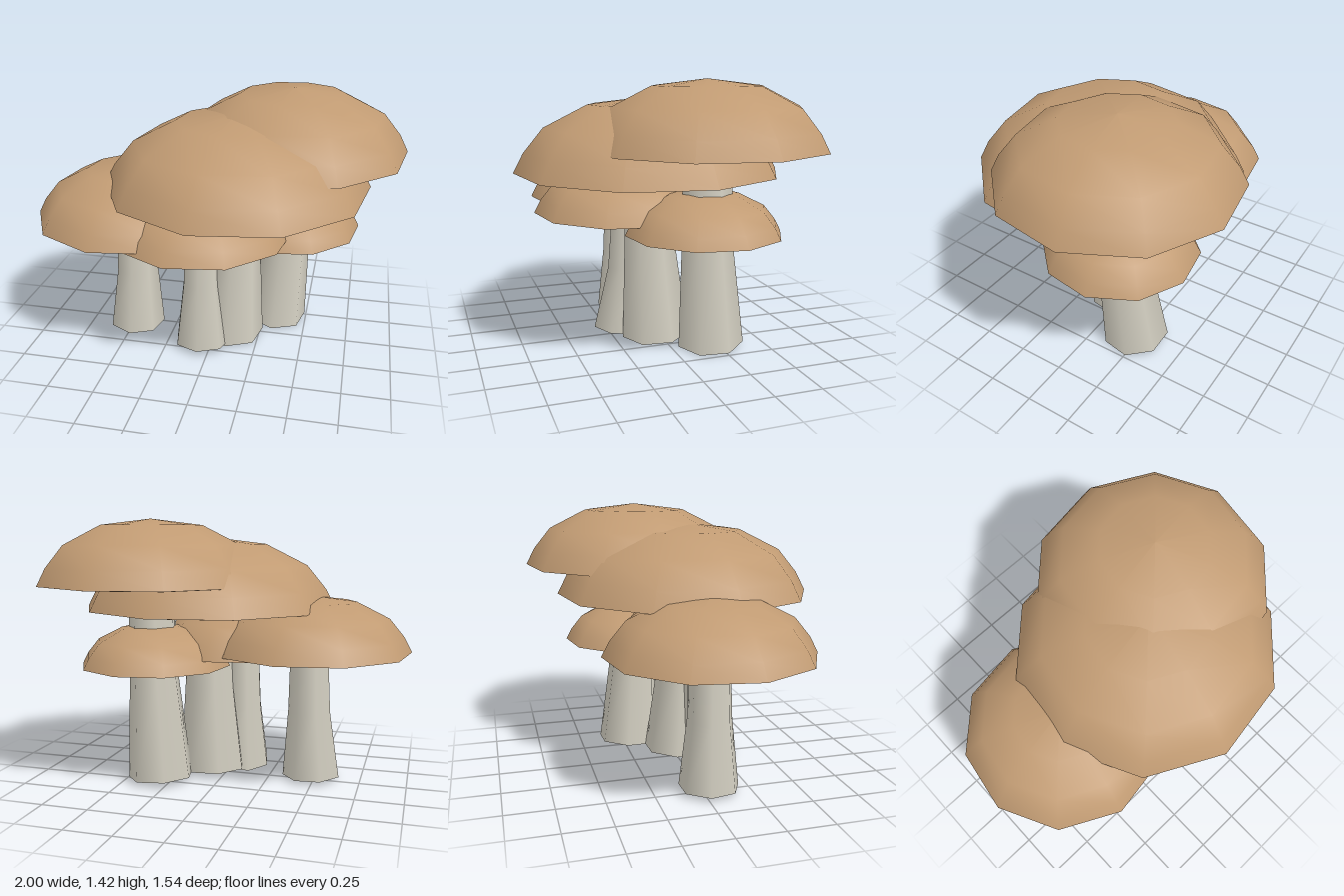
import * as THREE from 'three';

const capMaterial = new THREE.MeshStandardMaterial({ color: 0xc19b73 });
const gillMaterial = new THREE.MeshStandardMaterial({ color: 0x59544c });
const stemMaterial = new THREE.MeshStandardMaterial({ color: 0xd8d4c6 });

// Cap position and radius, then stem foot position and radii
const mushrooms = [
  { name: 'tallMushroom', x: 0.38, y: 1.08, z: -0.155, r: 0.626, footX: 0.315, footZ: -0.217, rTop: 0.125, rFoot: 0.18 },
  { name: 'frontMushroom', x: 0.12, y: 0.94, z: 0.07, r: 0.705, footX: 0.085, footZ: 0.02, rTop: 0.13, rFoot: 0.186 },
  { name: 'leftMushroom', x: -0.46, y: 0.715, z: 0.05, r: 0.545, footX: -0.482, footZ: 0.04, rTop: 0.105, rFoot: 0.16 },
  { name: 'middleMushroom', x: -0.065, y: 0.695, z: 0.145, r: 0.5, footX: -0.053, footZ: 0.175, rTop: 0.097, rFoot: 0.157, topZ: 0.12 },
  { name: 'smallMushroom', x: 0.362, y: 0.635, z: -0.155, r: 0.413, footX: 0.34, footZ: -0.2, rTop: 0.085, rFoot: 0.13 },
];

// Ten-sided surface of revolution; the profile runs upward, in units of the cap radius
function revolve(profile, radius) {
  const points = profile.map(([r, y]) => new THREE.Vector2(r * radius, y * radius));
  return new THREE.LatheGeometry(points, 10, THREE.MathUtils.degToRad(26.8), Math.PI * 2);
}

// Flared seven-sided stem whose foot swings sideways and tilts with its axis
function stemGeometry({ x, y, z, footX, footZ, rTop, rFoot, topZ = z }) {
  const geometry = new THREE.CylinderGeometry(1, 1, 1, 7, 2);
  const p = geometry.attributes.position;
  const height = y + 0.03;
  const foot = 0.018;
  for (let i = 0; i < p.count; i++) {
    const t = p.getY(i) + 0.5;
    const k = (1 - t) ** 2;
    const r = rTop + (rFoot - rTop) * k;
    const dx = p.getX(i) * r;
    const dz = p.getZ(i) * r;
    const tilt = (-2 * k * (dx * (x - footX) + dz * (topZ - footZ))) / height;
    p.setXYZ(i, x + (footX - x) * k + dx, foot + t * (height - foot) + tilt * 0.6, topZ + (footZ - topZ) * k + dz);
  }
  return geometry;
}

function addMesh(group, name, geometry, material) {
  const mesh = new THREE.Mesh(geometry, material);
  mesh.name = name;
  group.add(mesh);
  return mesh;
}

export function createModel() {
  const model = new THREE.Group();
  model.name = 'mushroomCluster';
  for (const m of mushrooms) {
    const group = new THREE.Group();
    group.name = m.name;
    // Domed cap, its thin turned-in lip and the shallow gills beneath
    const dome = revolve([[1, 0], [0.925, 0.145], [0.775, 0.33], [0.45, 0.495], [0, 0.55]], m.r);
    const lip = revolve([[0.97, -0.004], [1, 0]], m.r);
    const gills = revolve([[0, -0.02], [0.97, -0.004]], m.r);
    addMesh(group, 'cap', dome, capMaterial).position.set(m.x, m.y, m.z);
    addMesh(group, 'capLip', lip, capMaterial).position.set(m.x, m.y, m.z);
    addMesh(group, 'gills', gills, gillMaterial).position.set(m.x, m.y, m.z);
    addMesh(group, 'stem', stemGeometry(m), stemMaterial);
    model.add(group);
  }
  return model;
}
